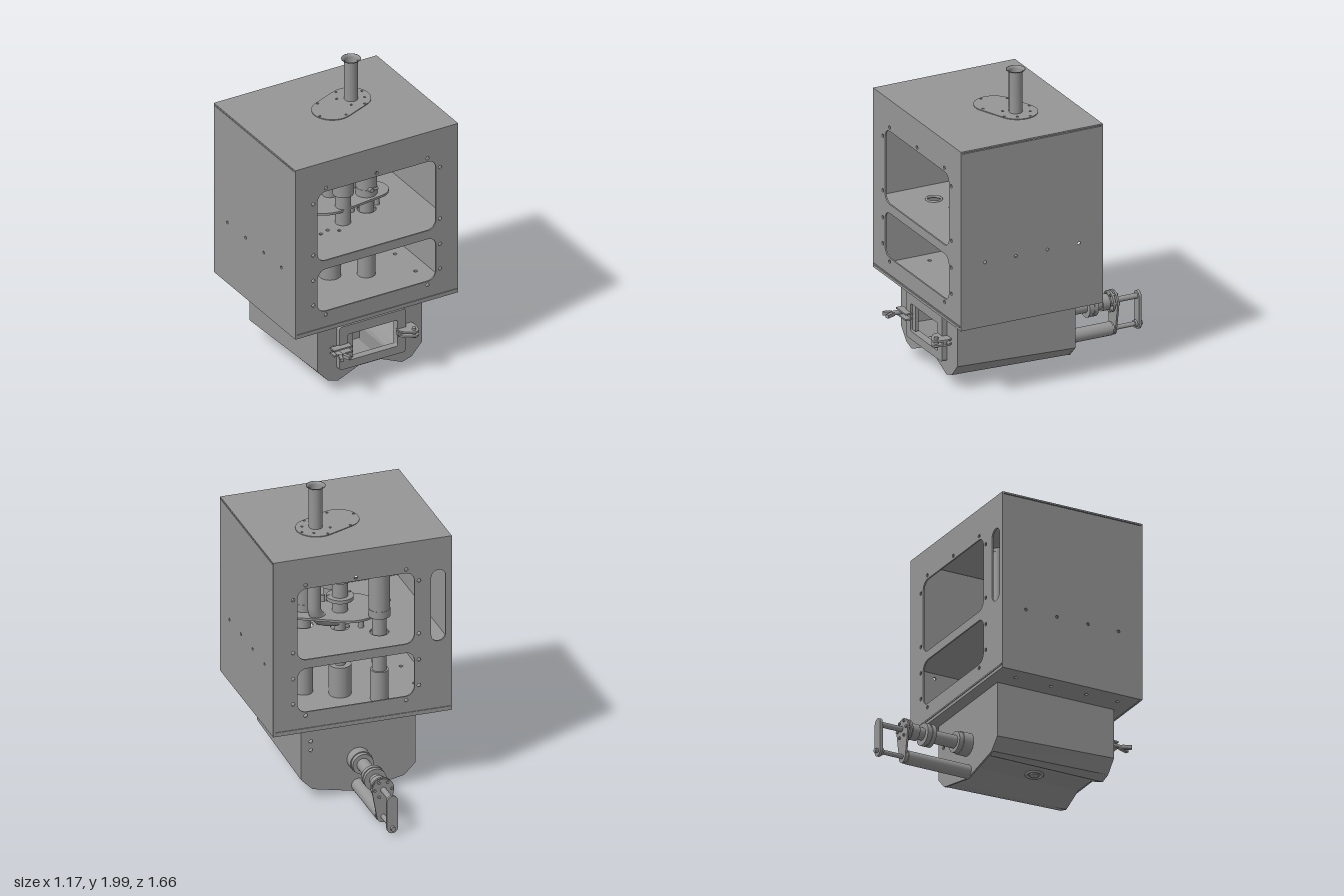
import * as THREE from 'three';

const mat = new THREE.MeshStandardMaterial({ color: 0x969696, side: THREE.DoubleSide });

function add(parent, name, geo, pos = [0, 0, 0], rot = [0, 0, 0]) {
  const m = new THREE.Mesh(geo, mat);
  m.name = name;
  m.position.set(...pos);
  m.rotation.set(...rot);
  parent.add(m);
  return m;
}
function group(parent, name) {
  const g = new THREE.Group();
  g.name = name;
  parent.add(g);
  return g;
}
const box = (p, n, w, h, d, pos, rot) => add(p, n, new THREE.BoxGeometry(w, h, d), pos, rot);
// upright cylinder between two heights
const post = (p, n, x, z, r, y0, y1) =>
  add(p, n, new THREE.CylinderGeometry(r, r, y1 - y0, 32), [x, (y0 + y1) / 2, z]);
// cylinder lying along z
const rod = (p, n, x, y, r, z0, z1) =>
  add(p, n, new THREE.CylinderGeometry(r, r, Math.abs(z1 - z0), 32), [x, y, (z0 + z1) / 2], [Math.PI / 2, 0, 0]);
// cylinder lying along x
const bar = (p, n, x0, x1, y, z, r) =>
  add(p, n, new THREE.CylinderGeometry(r, r, x1 - x0, 20), [(x0 + x1) / 2, y, z], [0, 0, Math.PI / 2]);

const poly = pts => new THREE.Shape(pts.map(([x, y]) => new THREE.Vector2(x, y)));
const rect = (x0, y0, x1, y1) => poly([[x0, y0], [x1, y0], [x1, y1], [x0, y1]]);
function roundRect(x0, y0, x1, y1, r) {
  const s = new THREE.Shape();
  s.absarc(x1 - r, y1 - r, r, 0, Math.PI / 2);
  s.absarc(x0 + r, y1 - r, r, Math.PI / 2, Math.PI);
  s.absarc(x0 + r, y0 + r, r, Math.PI, Math.PI * 1.5);
  s.absarc(x1 - r, y0 + r, r, Math.PI * 1.5, Math.PI * 2);
  s.closePath();
  return s;
}
const circle = (x, y, r) => new THREE.Shape().absarc(x, y, r, 0, Math.PI * 2);
// outline around two circles, like a link plate
function link(x0, y0, r0, x1, y1, r1) {
  const a = Math.atan2(y1 - y0, x1 - x0);
  const b = Math.acos((r0 - r1) / Math.hypot(x1 - x0, y1 - y0));
  const s = new THREE.Shape();
  s.absarc(x1, y1, r1, a - b, a + b);
  s.absarc(x0, y0, r0, a + b, a - b + Math.PI * 2);
  s.closePath();
  return s;
}
function plate(shape, depth, holes = []) {
  shape.holes.push(...holes);
  return new THREE.ExtrudeGeometry(shape, { depth, bevelEnabled: false, curveSegments: 10 });
}
const FLAT = [Math.PI / 2, 0, 0];

// two windows and their bolt holes, for the front or back wall
function windowHoles(x0, x1) {
  const holes = [roundRect(x0, 1.01, x1, 1.5, 0.06), roundRect(x0, 0.65, x1, 0.95, 0.06)];
  for (const y of [1.435, 1.07, 0.89, 0.715])
    for (const x of [x0 - 0.03, x1 + 0.03]) holes.push(circle(x, y, 0.012));
  const c = (x0 + x1) / 2, d = (x1 - x0) * 0.43;
  for (const x of [c - d, c, c + d]) holes.push(circle(x, 1.525, 0.012));
  for (const x of [c - d, c + d]) holes.push(circle(x, 0.625, 0.012));
  return holes;
}

function buildCabinet(root) {
  const g = group(root, 'cabinet');
  const wall = () => rect(-0.585, 0.51, 0.585, 1.71);
  add(g, 'frontWall', plate(wall(), 0.01, windowHoles(-0.425, 0.425)), [0, 0, 0.73]);
  const slot = roundRect(-0.545, 1.0, -0.45, 1.49, 0.047);
  add(g, 'backWall', plate(wall(), 0.01, [...windowHoles(-0.34, 0.425), slot]), [0, 0, -0.25]);
  for (const x of [0.585, -0.575]) {
    const holes = [0.57, 0.355, 0.135, -0.085].map(z => circle(z, 0.94, 0.01));
    add(g, 'sideWall', plate(rect(-0.25, 0.51, 0.74, 1.695), 0.01, holes), [x, 0, 0], [0, -Math.PI / 2, 0]);
  }
  const deck = () => rect(-0.585, -0.25, 0.585, 0.74);
  add(g, 'roof', plate(deck(), 0.01, [circle(0.17, 0.14, 0.042)]), [0, 1.71, 0], FLAT);
  const shelfHoles = [circle(-0.365, 0.43, 0.045), circle(0.0, 0.17, 0.06), circle(-0.205, 0.02, 0.06),
    circle(0.205, 0.27, 0.06), circle(-0.2, 0.4, 0.012), circle(-0.14, 0.38, 0.012), circle(-0.08, 0.42, 0.012)];
  add(g, 'shelf', plate(rect(-0.575, -0.24, 0.575, 0.73), 0.012, shelfHoles), [0, 0.985, 0], FLAT);
  add(g, 'shelfPortRim', new THREE.TorusGeometry(0.047, 0.008, 8, 28), [-0.365, 0.985, 0.43], FLAT);
  const floorHoles = [-0.48, 0.48].flatMap(x => [-0.1, 0.15, 0.4, 0.62].map(z => circle(x, z, 0.012)));
  add(g, 'floor', plate(deck(), 0.012, floorHoles), [0, 0.525, 0], FLAT);
  for (const z of [-0.251, 0.741]) box(g, 'bottomSeam', 1.15, 0.01, 0.008, [0, 0.535, z]);
}

function buildChimney(root) {
  const g = group(root, 'chimney');
  const boltHoles = [[-0.11, 0.235], [-0.04, 0.09], [0.13, 0.025], [0.275, 0.095], [0.21, 0.24], [0.04, 0.3],
    [0.09, 0.1], [0.21, 0.06], [0.25, 0.17], [0.13, 0.21]].map(([x, z]) => circle(x, z, 0.008));
  add(g, 'coverPlate', plate(link(0, 0.2, 0.13, 0.17, 0.13, 0.13), 0.005, [circle(0.17, 0.14, 0.04), ...boltHoles]),
    [0, 1.715, 0], FLAT);
  const profile = [[0.039, 1.68], [0.043, 1.68], [0.043, 1.985], [0.061, 1.997], [0.061, 2.0], [0.056, 2.0], [0.039, 1.985], [0.039, 1.68]];
  const geo = new THREE.LatheGeometry(profile.map(p => new THREE.Vector2(...p)), 36);
  add(g, 'stack', geo, [0.17, 0, 0.14]);
  // inner pipe drops straight down, then sweeps under the middle duct
  const path = new THREE.CurvePath();
  const v = (x, y, z) => new THREE.Vector3(x, y, z);
  path.add(new THREE.LineCurve3(v(0.18, 1.7, 0.14), v(0.18, 1.17, 0.14)));
  path.add(new THREE.CubicBezierCurve3(v(0.18, 1.17, 0.14), v(0.18, 1.08, 0.14), v(0.12, 1.05, 0.16), v(0.02, 1.04, 0.17)));
  add(g, 'innerPipe', new THREE.TubeGeometry(path, 60, 0.042, 20));
}

function buildInterior(root) {
  const g = group(root, 'interiorMachinery');
  // side actuators with end caps and fittings
  for (const [x, z] of [[-0.205, 0.02], [0.203, 0.27]]) {
    post(g, 'actuatorBody', x, z, 0.066, 1.15, 1.435);
    post(g, 'actuatorFoot', x, z, 0.068, 1.1, 1.15);
    post(g, 'actuatorCap', x, z, 0.068, 1.435, 1.49);
    for (const y of [1.155, 1.45]) {
      rod(g, 'actuatorFitting', x - 0.01, y, 0.015, z + 0.05, z + 0.085);
      bar(g, 'actuatorNipple', x + 0.01, x + 0.04, y, z + 0.072, 0.008);
    }
    post(g, 'actuatorRod', x, z, 0.045, 0.73, 1.1);
    post(g, 'baseSocket', x, z, 0.058, 0.52, 0.73);
  }
  // middle actuator in front of the duct
  post(g, 'middleActuator', -0.005, 0.34, 0.066, 1.19, 1.56);
  post(g, 'middleActuatorNeck', -0.005, 0.34, 0.05, 0.985, 1.19);
  post(g, 'middleDuct', 0, 0.17, 0.075, 1.31, 1.51);
  post(g, 'middleStem', 0, 0.17, 0.05, 1.1, 1.31);
  post(g, 'middleShaft', 0, 0.17, 0.035, 0.73, 1.1);
  post(g, 'middleSocket', 0, 0.17, 0.07, 0.52, 0.73);
  for (const [y, r] of [[0.84, 0.08], [0.92, 0.06], [1.19, 0.085]]) post(g, 'collar', 0, 0.17, r, y - 0.012, y + 0.012);
  for (const x of [-0.07, 0.07, 0.1]) post(g, 'collarBolt', x, 0.2, 0.012, 1.16, 1.205);
  // carrier plate and stand-offs
  add(g, 'carrierPlate', plate(link(-0.06, 0.19, 0.2, 0.26, 0.25, 0.1), 0.015), [0, 1.1, 0], FLAT);
  for (const [x, z] of [[-0.22, 0.12], [-0.12, 0.12], [0.11, 0.25], [0.29, 0.25]]) post(g, 'standOff', x, z, 0.018, 0.985, 1.09);
  // linkage below the shelf
  add(g, 'crankArm', plate(link(0, 0.17, 0.06, 0.205, 0.27, 0.05), 0.025), [0, 0.91, 0], FLAT);
  add(g, 'rockerArm', plate(link(-0.11, 0.22, 0.025, 0, 0.17, 0.045), 0.02), [0, 0.935, 0], FLAT);
  post(g, 'rockerPin', -0.11, 0.22, 0.022, 0.86, 0.95);
  post(g, 'crankPin', 0.1, 0.22, 0.018, 0.86, 0.95);
  bar(g, 'pushRod', -0.11, 0.4, 0.915, 0.3, 0.014);
  post(g, 'clampHub', 0.203, 0.27, 0.055, 0.86, 0.92);
  box(g, 'valveBlock', 0.17, 0.07, 0.12, [0.215, 0.77, 0.27]);
  add(g, 'lever', plate(link(0.335, 0.75, 0.035, 0.385, 0.92, 0.022), 0.02), [0, 0, 0.29]);
  bar(g, 'leverShaft', 0.27, 0.43, 0.76, 0.28, 0.018);
  rod(g, 'sideEye', -0.205, 0.76, 0.03, 0.04, 0.09);
}

function buildFirebox(root) {
  const g = group(root, 'lowerBox');
  const half = [[0.375, 0.51], [0.375, 0.178], [0.3, 0.095], [0.23, 0.075], [0.08, 0.14]];
  const outer = [...half, ...half.map(([x, y]) => [-x, y]).reverse()];
  const inner = outer.map(([x, y]) => [x * 0.97, y === 0.51 ? y : y + 0.012]);
  // the outer chamfers drop a little towards the back
  const slope = geo => {
    const p = geo.attributes.position;
    for (let i = 0; i < p.count; i++) {
      const x = Math.abs(p.getX(i));
      const drop = x > 0.35 ? 0.033 : x > 0.25 ? 0.022 : 0;
      if (p.getY(i) < 0.3) p.setY(i, p.getY(i) - drop * (0.64 - p.getZ(i)) / 0.8);
    }
    geo.computeVertexNormals();
    return geo;
  };
  add(g, 'walls', slope(plate(poly(outer), 0.8, [poly(inner)]).translate(0, 0, -0.16)));
  add(g, 'frontPanel', plate(poly(outer), 0.015, [rect(-0.18, 0.22, 0.18, 0.4)]), [0, 0, 0.64]);
  const back = [[0.375, 0.51], [0.375, 0.145], [0.3, 0.07], [0, 0.008], [-0.3, 0.07], [-0.375, 0.145], [-0.375, 0.51]];
  const vents = [0.4, 0.34].map(y => circle(0.31, y, 0.012));
  add(g, 'backPanel', plate(poly(back), 0.012, vents), [0, 0, -0.17]);
  add(g, 'doorFrame', plate(roundRect(-0.24, 0.165, 0.24, 0.47, 0.02), 0.035, [roundRect(-0.18, 0.22, 0.18, 0.405, 0.015)]), [0, 0, 0.655]);
  // underside port
  add(g, 'portRim', new THREE.TorusGeometry(0.05, 0.01, 10, 32), [0, 0.139, 0.3], FLAT);
  post(g, 'portCap', 0, 0.3, 0.03, 0.13, 0.145);
  // burner inside
  box(g, 'innerNozzle', 0.08, 0.035, 0.3, [0, 0.385, 0.25]);
  box(g, 'innerTray', 0.1, 0.05, 0.3, [0, 0.225, 0.3]);

  // wing nut clamp and hinge
  const clamp = group(g, 'wingClamp');
  for (const y of [0.302, 0.338]) box(clamp, 'clampEar', 0.13, 0.01, 0.05, [-0.235, y, 0.705]);
  rod(clamp, 'clampBolt', -0.27, 0.32, 0.015, 0.66, 0.78);
  for (const s of [-1, 1])
    box(clamp, 'wing', 0.022, 0.022, 0.06, [-0.27 + s * 0.02, 0.32, 0.795], [0, s * 0.35, 0]);
  box(clamp, 'latchStrip', 0.04, 0.17, 0.02, [-0.155, 0.315, 0.67]);
  const hinge = group(g, 'hinge');
  for (const y of [0.31, 0.34])
    add(hinge, 'hingeEar', plate(link(0.24, 0.69, 0.065, 0.265, 0.745, 0.03), 0.012), [0, y, 0], FLAT);
  post(hinge, 'hingePin', 0.265, 0.745, 0.013, 0.285, 0.355);
  box(hinge, 'hingeArm', 0.13, 0.025, 0.025, [0.235, 0.32, 0.7]);
}

function buildRearDrive(root) {
  const g = group(root, 'rearDrive');
  // main barrel: radius, start and end along z
  for (const [r, z0, z1] of [[0.074, -0.17, -0.235], [0.068, -0.235, -0.265], [0.042, -0.265, -0.43], [0.073, -0.43, -0.458],
    [0.068, -0.458, -0.466], [0.073, -0.466, -0.492], [0.04, -0.492, -0.6], [0.052, -0.535, -0.585], [0.07, -0.597, -0.612], [0.018, -0.64, -0.8]])
    rod(g, 'barrelSection', 0, 0.235, r, z0, z1);
  for (let i = 0; i < 6; i++) {
    const a = i * Math.PI / 3;
    rod(g, 'flangeBolt', 0.056 * Math.cos(a), 0.235 + 0.056 * Math.sin(a), 0.009, -0.59, -0.645);
  }
  add(g, 'endBracket', plate(link(0, 0.235, 0.072, 0, 0.05, 0.04), 0.012), [0, 0, -0.635]);
  // lower guide cylinder
  rod(g, 'guideCylinder', 0, 0.052, 0.044, -0.16, -0.61);
  rod(g, 'guideCap', 0, 0.052, 0.036, -0.61, -0.635);
  rod(g, 'guideRod', 0, 0.05, 0.015, -0.635, -0.83);
  rod(g, 'guideNut', 0, 0.05, 0.024, -0.775, -0.79);
  add(g, 'yokeBar', plate(link(0, 0.235, 0.035, 0, 0.05, 0.035), 0.018), [0, 0, -0.81]);
}

export function createModel() {
  const root = new THREE.Group();
  root.name = 'stove';
  buildCabinet(root);
  buildChimney(root);
  buildInterior(root);
  buildFirebox(root);
  buildRearDrive(root);
  return root;
}
